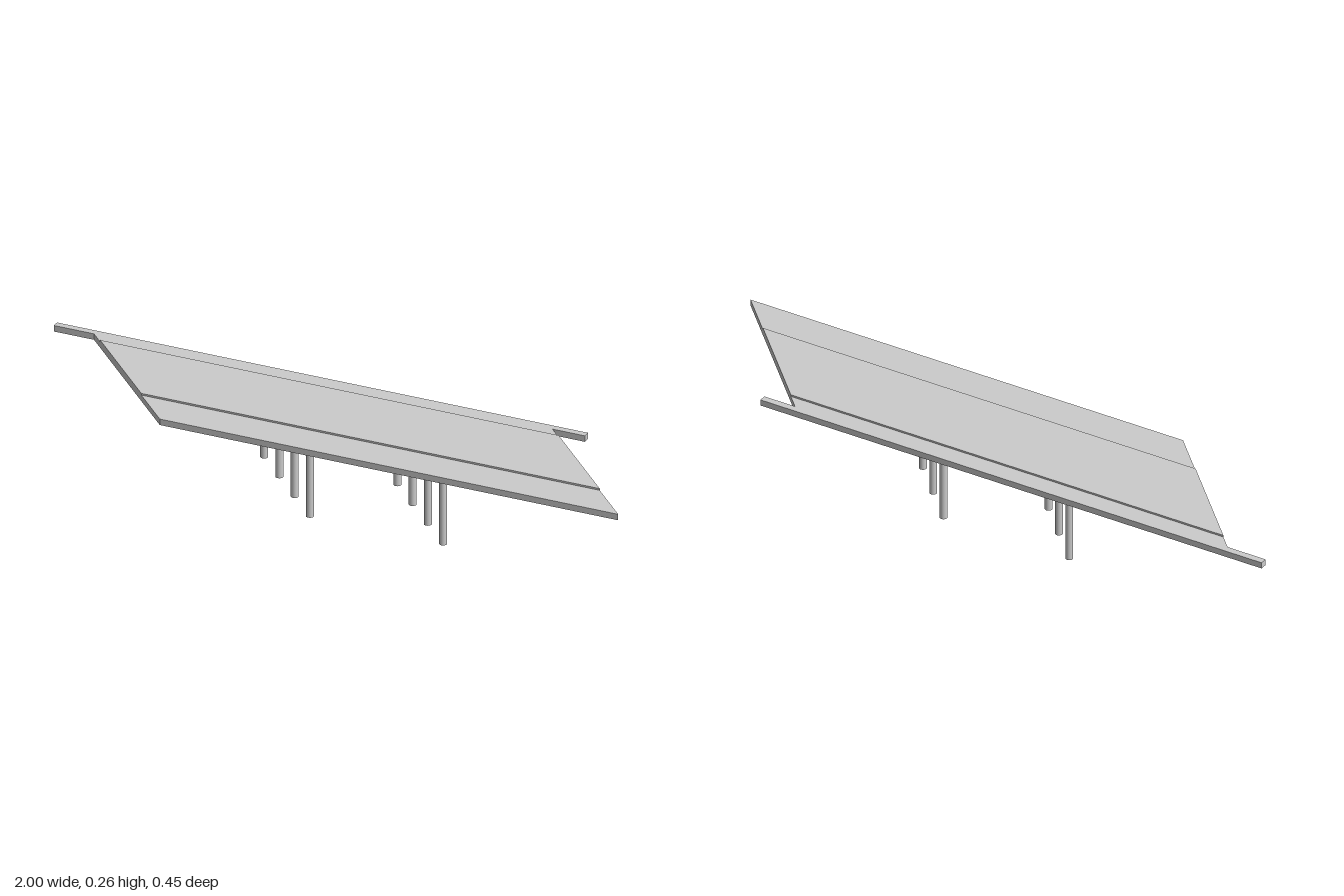
import * as THREE from 'three';

const SKEW = 0.97;     // sideways shift of the deck per unit of z
const YAW = 0.0033;    // slight turn of the whole bridge
const DECK_BOTTOM = 0.231, DECK_TOP = 0.25;

export function createModel() {
  const bridge = new THREE.Group();
  bridge.name = 'skewBridge';
  const grey = new THREE.MeshStandardMaterial({ color: 0xcccccc });

  function add(name, geometry) {
    const mesh = new THREE.Mesh(geometry, grey);
    mesh.name = name;
    bridge.add(mesh);
    return mesh;
  }

  // Box whose x position slides with z, giving a parallelogram slab
  function skewedSlab(x0, x1, y0, y1, z0, z1) {
    const geometry = new THREE.BoxGeometry(x1 - x0, y1 - y0, z1 - z0);
    geometry.translate((x0 + x1) / 2, (y0 + y1) / 2, (z0 + z1) / 2);
    const p = geometry.attributes.position;
    for (let i = 0; i < p.count; i++) p.setX(i, p.getX(i) + SKEW * p.getZ(i));
    geometry.computeVertexNormals();
    return geometry;
  }

  // Deck and raised roadway
  add('deck', skewedSlab(-0.675, 0.784, DECK_BOTTOM, DECK_TOP, -0.203, 0.2255));
  add('roadway', skewedSlab(-0.675, 0.784, DECK_TOP, 0.2555, -0.163, 0.105));

  // Long square-ended beam along the back edge
  const beam = new THREE.BoxGeometry(1.69, DECK_TOP - DECK_BOTTOM, 0.022);
  add('backBeam', beam).position.set(-0.155, (DECK_TOP + DECK_BOTTOM) / 2, -0.214);

  // Two skewed rows of four round columns
  const column = new THREE.CylinderGeometry(0.0115, 0.0115, DECK_BOTTOM, 16);
  for (const rowX of [-0.16, 0.264]) {
    for (let i = 0; i < 4; i++) {
      const z = -0.149 + i * 0.0993;
      add('column', column).position.set(rowX + SKEW * z, DECK_BOTTOM / 2, z);
    }
  }

  bridge.rotation.y = YAW;
  return bridge;
}
